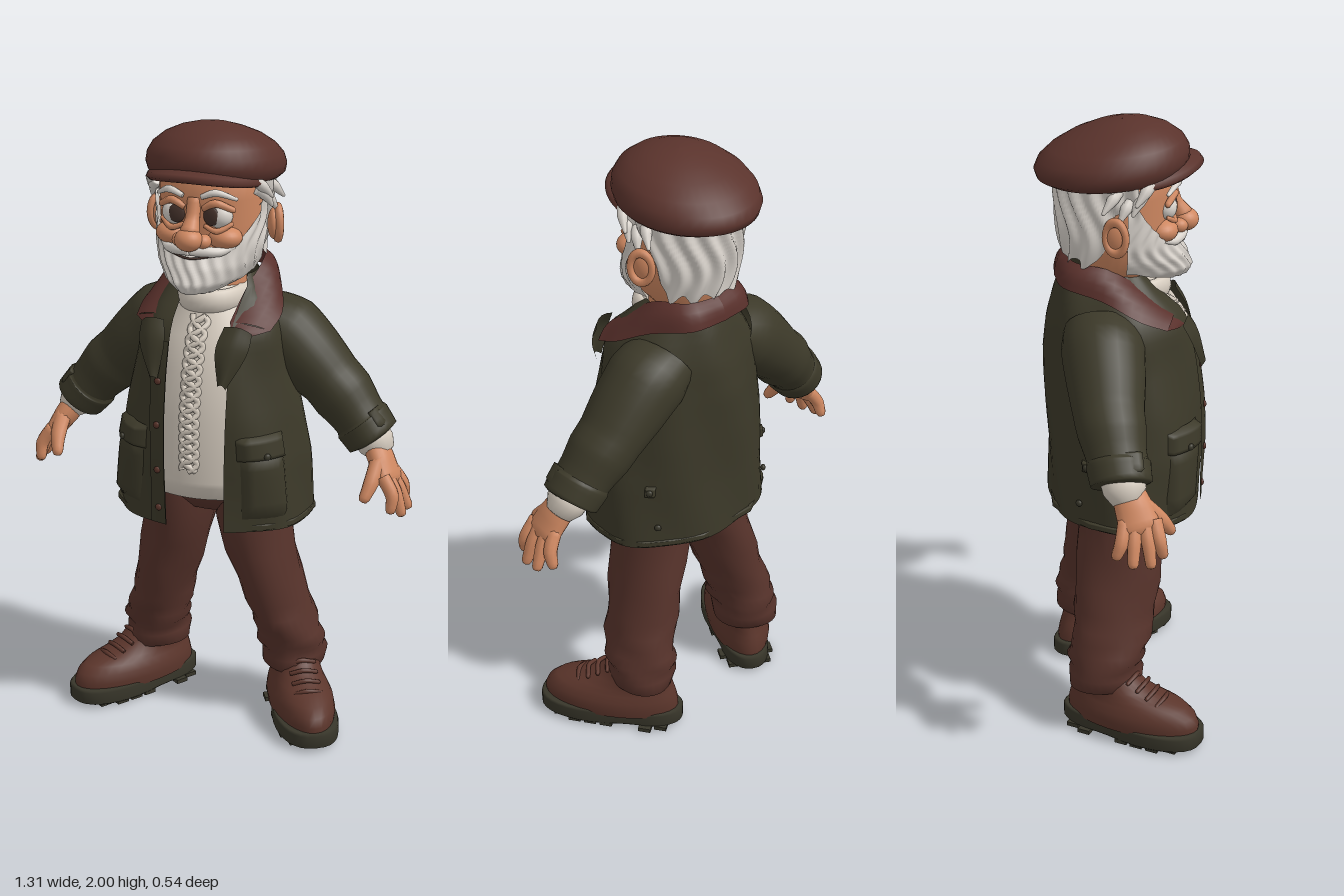
import * as THREE from 'three';

const V = (x, y, z) => new THREE.Vector3(x, y, z);
const mat = (name, color, side = THREE.FrontSide) => new THREE.MeshStandardMaterial({ name, color, side });
const D = THREE.DoubleSide;
const M = {
  jacket: mat('olive jacket', 0x3c3929, D), trousers: mat('brown trousers', 0x57332b),
  cap: mat('cap brown', 0x5a332c, D), collar: mat('collar red brown', 0x59302b, D),
  leather: mat('boot leather', 0x5b352b), skin: mat('skin', 0xcf8861),
  hair: mat('white hair', 0xdad4cd, D), knit: mat('cream knit', 0xd6ccbf),
  sole: mat('dark sole', 0x38362a), dark: mat('dark eye', 0x46332c),
};
const HX = -0.012; // the head sits slightly off centre

// Surface through rows of points; columns run anticlockwise seen from outside
function loft(rows, closed = true) {
  const n = rows[0].length, idx = [], pos = rows.flat().flatMap(p => [p.x, p.y, p.z]);
  for (let i = 0; i < rows.length - 1; i++) for (let j = 0; j < (closed ? n : n - 1); j++) {
    const a = i * n + j, b = i * n + (j + 1) % n;
    idx.push(a, b, b + n, a, b + n, a + n);
  }
  const g = new THREE.BufferGeometry();
  g.setAttribute('position', new THREE.Float32BufferAttribute(pos, 3));
  g.setIndex(idx);
  g.computeVertexNormals();
  return g;
}
const grid = (rows, cols, f) => loft(Array.from({ length: rows + 1 }, (_, i) =>
  Array.from({ length: cols + 1 }, (_, j) => f(j / cols, i / rows))), false);

// Read a table of [y, ...values] at height y
function at(table, y) {
  let i = 0;
  while (i < table.length - 2 && y > table[i + 1][0]) i++;
  const p = table[i], q = table[i + 1], t = THREE.MathUtils.clamp((y - p[0]) / (q[0] - p[0]), 0, 1);
  return p.map((v, k) => v + (q[k] - v) * t);
}
// Horizontal oval at angle a (0 = front): radius rx, front zf, back zb about zc
const oval = (a, y, rx, zf, zb, off = 0, cx = 0, zc = 0) => {
  const s = Math.sin(a), c = Math.cos(a);
  return V(cx + s * (rx + off), y, zc + c * ((c > 0 ? zf - zc : zc - zb) + off));
};
// Stack of ovals, rows [y, rx, zf, zb, cx]
const stack = (rows, n = 32, wobble = () => 0) => loft(rows.map(([y, rx, zf, zb, cx = 0]) =>
  Array.from({ length: n }, (_, j) => {
    const a = j / n * Math.PI * 2;
    return oval(a, y, rx, zf, zb, wobble(a, y), cx, (zf + zb) / 2);
  })));
// Tapered tube through points [x, y, z, inPlaneRadius, depthRadius]
function limb(pts, n = 14, cap = true, steps = 4) {
  const curve = new THREE.CatmullRomCurve3(pts.map(p => V(p[0], p[1], p[2])));
  const rows = [], N = (pts.length - 1) * steps;
  const ring = (t, k) => {
    const f = t * (pts.length - 1), i = Math.min(Math.floor(f), pts.length - 2), w = f - i;
    const r = c => (pts[i][c] ?? pts[i][3]) * (1 - w) + (pts[i + 1][c] ?? pts[i + 1][3]) * w;
    const c = curve.getPoint(t), d = curve.getTangent(t);
    const u = V(0, 0, 1).cross(d).normalize(), v = d.clone().cross(u);
    return Array.from({ length: n }, (_, j) => {
      const b = j / n * Math.PI * 2;
      return c.clone().addScaledVector(u, Math.cos(b) * r(3) * k).addScaledVector(v, Math.sin(b) * r(4) * k);
    });
  };
  if (cap) rows.push(ring(0, 0.001), ring(0, 0.7));
  for (let i = 0; i <= N; i++) rows.push(ring(i / N, 1));
  if (cap) {
    const shift = curve.getTangent(1).multiplyScalar(pts.at(-1)[3] * 0.6);
    rows.push(ring(1, 0.7).map(p => p.add(shift)), ring(1, 0.001).map(p => p.addScaledVector(shift, 1.4)));
  }
  return loft(rows);
}
const ball = (x, y, z, rx, ry, rz, rot = 0) => new THREE.SphereGeometry(1, 24, 16).scale(rx, ry, rz).rotateY(rot).translate(x, y, z);
function mirror(geo, cx = 0) {
  const g = geo.clone().translate(-cx, 0, 0).scale(-1, 1, 1).translate(cx, 0, 0);
  g.index.array.reverse();
  return g;
}

export function createModel() {
  const root = new THREE.Group();
  root.name = 'oldMan';
  const add = (name, g, m) => { const o = new THREE.Mesh(g, m); o.name = name; root.add(o); };
  const both = (name, g, m, cx = 0) => { add(name + 'Left', g, m); add(name + 'Right', mirror(g, cx), m); };

  // Jacket shell, open at the front
  const body = [[0.74, 0.325, 0.255, -0.24], [0.95, 0.312, 0.258, -0.24], [1.1, 0.285, 0.252, -0.245], [1.25, 0.25, 0.238, -0.247],
    [1.36, 0.238, 0.216, -0.235], [1.4, 0.222, 0.198, -0.225], [1.43, 0.205, 0.165, -0.218], [1.48, 0.165, 0.11, -0.205], [1.53, 0.12, 0.06, -0.185]];
  const J = (a, y, off = 0) => {
    const [, rx, zf, zb] = at(body, y);
    return oval(a, y, rx, zf, zb, off + 0.005 * Math.sin(a * 7 + y * 9));
  };
  const edge = (x, y) => Math.asin(Math.min(0.95, x / at(body, y)[1]));
  add('jacket', grid(26, 56, (u, v) => {
    const y = 0.74 + v * 0.79, a0 = edge(0.12, y), a1 = Math.PI * 2 - edge(0.075, y);
    return J(a0 + (a1 - a0) * u, y);
  }), M.jacket);
  // Raised cloth panel following the jacket
  const panel = (a0, a1, y0, y1, h) => grid(8, 8, (u, v) => {
    const rim = Math.min(u, v, 1 - u, 1 - v) < 0.01 ? -0.003 : h;
    return J(a0 + (a1 - a0) * u, y0 + (y1 - y0) * v, rim);
  });
  both('pocket', panel(0.56, 1.12, 0.78, 1.01, 0.016), M.jacket);
  both('pocketFlap', panel(0.53, 1.15, 0.98, 1.06, 0.024), M.jacket);
  both('backTab', panel(2.12, 2.26, 0.93, 0.97, 0.01), M.jacket);
  both('hem', panel(0.5, Math.PI, 0.742, 0.765, 0.005), M.jacket);
  add('placket', grid(20, 4, (u, v) => {
    const y = 0.745 + v * 0.6;
    return J(-edge(0.125 - 0.055 * u, y), y, 0.01);
  }), M.jacket);
  for (const y of [0.8, 0.93, 1.08, 1.22]) {
    const p = J(-edge(0.095, y), y, 0.012);
    add('snap', ball(p.x, p.y, p.z, 0.011, 0.011, 0.006), M.leather);
  }
  for (const [a, y] of [[0.84, 1.0], [2.19, 0.95], [2.3, 0.82]]) {
    const p = J(a, y, a < 1 ? 0.026 : 0.01);
    both('button', ball(p.x, p.y, p.z, 0.011, 0.011, 0.008, a), M.sole);
  }

  // Collar with long points, and lapels standing off the chest
  const strip = (top, low, bulge) => grid(5, 16, (u, v) => {
    const c = k => new THREE.CatmullRomCurve3(k.map(p => V(...p))).getPoint(u);
    const p = c(low).lerp(c(top), v), d = V(p.x, 0, p.z + 0.04).normalize();
    return p.addScaledVector(d, bulge * Math.sin(v * Math.PI)).add(V(0, bulge * Math.sin(v * Math.PI), 0));
  });
  both('collar', strip(
    [[0, 1.57, -0.178], [0.1, 1.572, -0.15], [0.135, 1.56, -0.06], [0.118, 1.49, 0.05], [0.105, 1.41, 0.15]],
    [[0, 1.5, -0.212], [0.12, 1.5, -0.195], [0.19, 1.475, -0.08], [0.232, 1.42, 0.03], [0.225, 1.385, 0.115]], 0.009), M.collar);
  both('collarPoint', strip([[0.105, 1.412, 0.15], [0.115, 1.39, 0.165], [0.125, 1.365, 0.18]],
    [[0.226, 1.386, 0.114], [0.18, 1.375, 0.152], [0.126, 1.364, 0.181]], 0.004), M.collar);
  both('lapel', strip([[0.1, 1.405, 0.185], [0.085, 1.34, 0.222], [0.1, 1.23, 0.242]],
    [[0.185, 1.385, 0.168], [0.18, 1.33, 0.196], [0.125, 1.22, 0.238]], 0.014), M.jacket);

  // Sleeves, cuffs and hands
  both('sleeve', limb([[0.14, 1.36, -0.07, 0.1, 0.125], [0.21, 1.32, -0.08, 0.124, 0.13], [0.29, 1.25, -0.08, 0.114, 0.122], [0.36, 1.185, -0.08, 0.098, 0.11],
    [0.405, 1.14, -0.075, 0.1, 0.106], [0.45, 1.09, -0.068, 0.087, 0.094], [0.505, 1.025, -0.058, 0.08, 0.088]], 24, false), M.jacket);
  both('cuff', limb([[0.465, 1.073, -0.063, 0.085, 0.092], [0.474, 1.062, -0.063, 0.092, 0.099], [0.512, 1.017, -0.058, 0.087, 0.094], [0.515, 1.013, -0.058, 0.052, 0.06]], 24, false), M.jacket);
  both('cuffStrap', limb([[0.515, 1.12, -0.035, 0.016, 0.04], [0.548, 1.08, -0.033, 0.016, 0.04]], 10), M.jacket);
  both('shirtCuff', limb([[0.49, 1.045, -0.058, 0.06, 0.07], [0.527, 1.0, -0.05, 0.059, 0.066]], 20), M.knit);
  both('palm', limb([[0.515, 1.015, -0.05, 0.04, 0.048], [0.55, 0.96, -0.028, 0.039, 0.058], [0.585, 0.905, -0.012, 0.03, 0.064]], 18), M.skin);
  for (const [z, x, y, tz] of [[-0.055, 0.615, 0.83, -0.085], [-0.026, 0.638, 0.81, -0.038], [0.004, 0.634, 0.805, 0.016], [0.034, 0.61, 0.825, 0.055]])
    both('finger', limb([[0.575, 0.925, z, 0.023], [0.61, 0.87, (z + tz) / 2, 0.022], [x, y, tz, 0.017]], 10), M.skin);
  both('thumb', limb([[0.55, 0.965, 0.0, 0.028], [0.545, 0.91, 0.055, 0.025], [0.533, 0.865, 0.088, 0.018]], 10), M.skin);

  // Sweater with a braided cable and ribs
  const knit = [[0.83, 0.2, 0.2, -0.15], [0.84, 0.25, 0.232, -0.2], [0.88, 0.26, 0.24, -0.2], [0.9, 0.262, 0.25, -0.2], [1.1, 0.25, 0.25, -0.2],
    [1.25, 0.215, 0.226, -0.19], [1.36, 0.19, 0.19, -0.18], [1.43, 0.12, 0.14, -0.14], [1.49, 0.105, 0.125, -0.12], [1.5, 0.07, 0.1, -0.1]];
  add('sweater', stack(knit, 64, a => 0.0015 * Math.sin(a * 32)), M.knit);
  const onKnit = (x, y, h) => {
    const [, rx, zf, zb] = at(knit, y), c = (zf + zb) / 2;
    return V(x, y, c + (zf - c) * Math.sqrt(1 - (x / rx) ** 2) + h);
  };
  const cord = (f, r) => new THREE.TubeGeometry(new THREE.CatmullRomCurve3(Array.from({ length: 70 }, (_, i) => f(i / 69))), 140, r, 6);
  for (const s of [0, 1, 2])
    add('cable', cord(t => onKnit(0.008 + 0.026 * Math.sin(t * 30 + s * 2.09), 0.94 + t * 0.48, 0.002 + 0.004 * Math.cos(t * 60 + s * 4.2)), 0.01), M.knit);
  add('rollNeck', new THREE.TorusGeometry(0.088, 0.022, 12, 32).rotateX(Math.PI / 2).scale(1, 1.7, 1.15).translate(0, 1.46, 0.03), M.knit);

  // Trousers
  add('hips', stack([[0.735, 0.03, 0.05, -0.08], [0.75, 0.16, 0.1, -0.13], [0.8, 0.235, 0.14, -0.16], [0.9, 0.24, 0.17, -0.17], [0.92, 0.01, 0, -0.01]]), M.trousers);
  both('trouserLeg', stack([[0.165, 0.085, 0.015, -0.18, 0.25], [0.17, 0.103, 0.035, -0.2, 0.25], [0.215, 0.108, 0.04, -0.205, 0.248], [0.235, 0.098, 0.03, -0.195, 0.246],
    [0.265, 0.112, 0.055, -0.203, 0.242], [0.29, 0.1, 0.05, -0.19, 0.238], [0.33, 0.106, 0.072, -0.188, 0.228], [0.37, 0.1, 0.076, -0.182, 0.215], [0.42, 0.101, 0.088, -0.178, 0.2],
    [0.5, 0.104, 0.105, -0.17, 0.178], [0.6, 0.112, 0.12, -0.16, 0.15], [0.72, 0.12, 0.132, -0.152, 0.123], [0.84, 0.122, 0.14, -0.15, 0.115]], 28,
  (a, y) => 0.005 * Math.sin(a * 3 + y * 38)), M.trousers);

  // Boots, built toe forward then turned outward
  const boot = (name, g, m) => both(name, g.rotateY(0.56).translate(0.304, 0, 0.002), m);
  const outline = (y, k = 1) => Array.from({ length: 36 }, (_, j) => {
    const a = j / 36 * Math.PI * 2, s = Math.sin(a), c = Math.cos(a);
    const w = 0.104 + 0.014 * c - 0.014 * Math.exp(-((c + 0.25) ** 2) * 12);
    return V(Math.sign(s) * Math.abs(s) ** 0.8 * w * k, y, Math.sign(c) * Math.abs(c) ** 0.85 * 0.246 * k);
  });
  boot('sole', loft([outline(0.01, 0.01), outline(0.01, 0.95), outline(0.016), outline(0.056), outline(0.064, 0.97), outline(0.064, 0.5)]), M.sole);
  for (const z of [-0.185, -0.135, 0, 0.055, 0.11, 0.165])
    boot('soleTread', new THREE.BoxGeometry(Math.abs(z) > 0.15 ? 0.15 : 0.19, 0.014, 0.042).translate(0, 0.007, z), M.sole);
  boot('bootUpper', stack([[0.05, 0.102, 0.232, -0.23], [0.08, 0.106, 0.234, -0.23], [0.108, 0.101, 0.222, -0.224], [0.132, 0.09, 0.192, -0.218],
    [0.148, 0.082, 0.13, -0.212], [0.17, 0.078, 0.06, -0.207], [0.2, 0.078, 0.02, -0.2], [0.23, 0.075, -0.005, -0.19], [0.235, 0.01, -0.1, -0.11]]), M.leather);
  boot('toeSeam', new THREE.TorusGeometry(0.085, 0.008, 8, 24, Math.PI).rotateX(-0.25).translate(0, 0.06, 0.1), M.leather);
  for (let i = 0; i < 4; i++)
    boot('lace', limb([[-0.045, 0.142 + i * 0.02, 0.105 - i * 0.034, 0.007], [0, 0.155 + i * 0.02, 0.115 - i * 0.034, 0.008], [0.045, 0.142 + i * 0.02, 0.105 - i * 0.034, 0.007]], 8), M.leather);

  // Head, ears and face
  add('head', stack([[1.48, 0.07, 0.06, -0.1, HX], [1.55, 0.13, 0.125, -0.135, HX], [1.62, 0.16, 0.15, -0.155, HX], [1.7, 0.166, 0.15, -0.165, HX],
    [1.78, 0.166, 0.158, -0.165, HX], [1.85, 0.166, 0.16, -0.165, HX], [1.9, 0.12, 0.12, -0.13, HX]]), M.skin);
  add('neck', new THREE.CylinderGeometry(0.09, 0.1, 0.18, 24).translate(0, 1.47, -0.01), M.skin);
  const face = (name, g, m) => both(name, g.translate(HX, 0, 0), m, HX);
  face('ear', ball(0.188, 1.685, -0.038, 0.02, 0.05, 0.036, 0.35), M.skin);
  face('earRim', new THREE.TorusGeometry(0.04, 0.013, 8, 24).scale(0.85, 1.22, 1).rotateY(Math.PI / 2 + 0.55).translate(0.2, 1.687, -0.042), M.skin);
  face('cheek', ball(0.085, 1.668, 0.113, 0.055, 0.036, 0.05), M.skin);
  face('eye', ball(0.073, 1.737, 0.125, 0.041, 0.039, 0.035), M.hair);
  face('iris', ball(0.056, 1.74, 0.153, 0.026, 0.03, 0.009, -0.1), M.dark);
  face('upperLid', limb([[0.03, 1.76, 0.152, 0.01], [0.07, 1.78, 0.153, 0.013], [0.118, 1.758, 0.125, 0.01]], 8), M.skin);
  face('lowerLid', limb([[0.034, 1.708, 0.152, 0.007], [0.075, 1.694, 0.153, 0.01], [0.115, 1.715, 0.127, 0.007]], 8), M.skin);
  face('eyebrow', limb([[0.03, 1.8, 0.168, 0.008], [0.075, 1.815, 0.162, 0.012], [0.128, 1.792, 0.125, 0.006]], 10), M.hair);
  add('noseBridge', limb([[HX, 1.79, 0.145, 0.022], [HX, 1.73, 0.165, 0.022], [HX, 1.69, 0.188, 0.032]], 14), M.skin);
  add('noseTip', ball(HX, 1.672, 0.197, 0.044, 0.036, 0.042), M.skin);
  face('nostril', ball(0.038, 1.664, 0.172, 0.025, 0.023, 0.028), M.skin);

  // Beard, moustache and hair with wavy strands
  const jaw = [[1.485, 0.02, 0.1], [1.5, 0.085, 0.205], [1.53, 0.13, 0.218], [1.58, 0.16, 0.2], [1.63, 0.174, 0.172], [1.7, 0.178, 0.16], [1.8, 0.18, 0.16]];
  add('beard', grid(18, 96, (u, v) => {
    const a = (u - 0.5) * 3.2, k = Math.min(1, Math.abs(a) / 1.45);
    const y0 = 1.485 + 0.06 * k * k, y = y0 + (1.618 + 0.165 * k ** 2.5 - y0) * v;
    const [, rx, rz] = at(jaw, y), w = 0.004 * Math.sin(a * 24 + 4 * Math.sin(y * 28));
    return oval(a, y, rx, rz, -0.1, w * Math.min(1, 3 * v), HX, 0);
  }), M.hair);
  face('moustache', limb([[0, 1.634, 0.186, 0.014, 0.02], [0.045, 1.634, 0.176, 0.017], [0.085, 1.63, 0.15, 0.014], [0.12, 1.642, 0.12, 0.006]], 12), M.hair);
  add('mouth', limb([[HX - 0.075, 1.62, 0.165, 0.003], [HX, 1.612, 0.193, 0.004], [HX + 0.075, 1.62, 0.165, 0.003]], 8), M.dark);
  add('hair', grid(18, 110, (u, v) => {
    const b = (u - 0.5) * 3.5, k = Math.abs(b) / 1.75;
    const y0 = 1.575 + 0.17 * THREE.MathUtils.smoothstep(k, 0.55, 0.85) + 0.012 * Math.sin(b * 14), y = y0 + (1.87 - y0) * v;
    const w = 0.008 * Math.sin(b * 18 + 3 * Math.sin(y * 18)) - 0.025 * (1 - v) ** 3;
    return oval(Math.PI + b, y, 0.186, 0.17, -0.208, w, HX, 0);
  }), M.hair);
  for (const [y, z, d] of [[1.82, 0.05, 0.03], [1.79, 0.03, 0.02], [1.77, -0.01, 0.02], [1.8, -0.05, 0.03]])
    face('hairTuft', limb([[0.165, y + 0.02, z + 0.02, 0.018], [0.185, y, z, 0.018], [0.192 + d * 0.4, y - 0.035, z - d, 0.006]], 8), M.hair);

  // Flat cap, dipping toward the back, and its brim
  const crown = [[1.825, 0.165, 0.16, -0.19], [1.83, 0.195, 0.18, -0.235], [1.845, 0.211, 0.195, -0.262], [1.87, 0.216, 0.207, -0.27], [1.9, 0.209, 0.205, -0.257],
    [1.93, 0.189, 0.188, -0.222], [1.96, 0.15, 0.15, -0.165], [1.982, 0.1, 0.1, -0.1], [1.994, 0.05, 0.05, -0.05], [1.997, 0.001, 0.001, -0.001]];
  const cap = stack(crown.map(r => [...r, HX]), 40), cp = cap.attributes.position;
  for (let i = 0; i < cp.count; i++) cp.setY(i, cp.getY(i) + 0.08 * cp.getZ(i));
  cap.computeVertexNormals();
  add('cap', cap, M.cap);
  const layers = [[0.16, 0.13, 1.858], [0.188, 0.236, 1.855], [0.196, 0.25, 1.866], [0.188, 0.24, 1.88], [0.165, 0.14, 1.9]];
  add('capBrim', loft(layers.map(([rx, zf, y]) => Array.from({ length: 33 }, (_, j) => {
    const a = (j / 32 - 0.5) * 2.7;
    return oval(a, y - 0.035 * Math.sin(a) ** 2, rx, zf, -0.1, 0, HX, 0);
  })), false), M.cap);
  return root;
}
